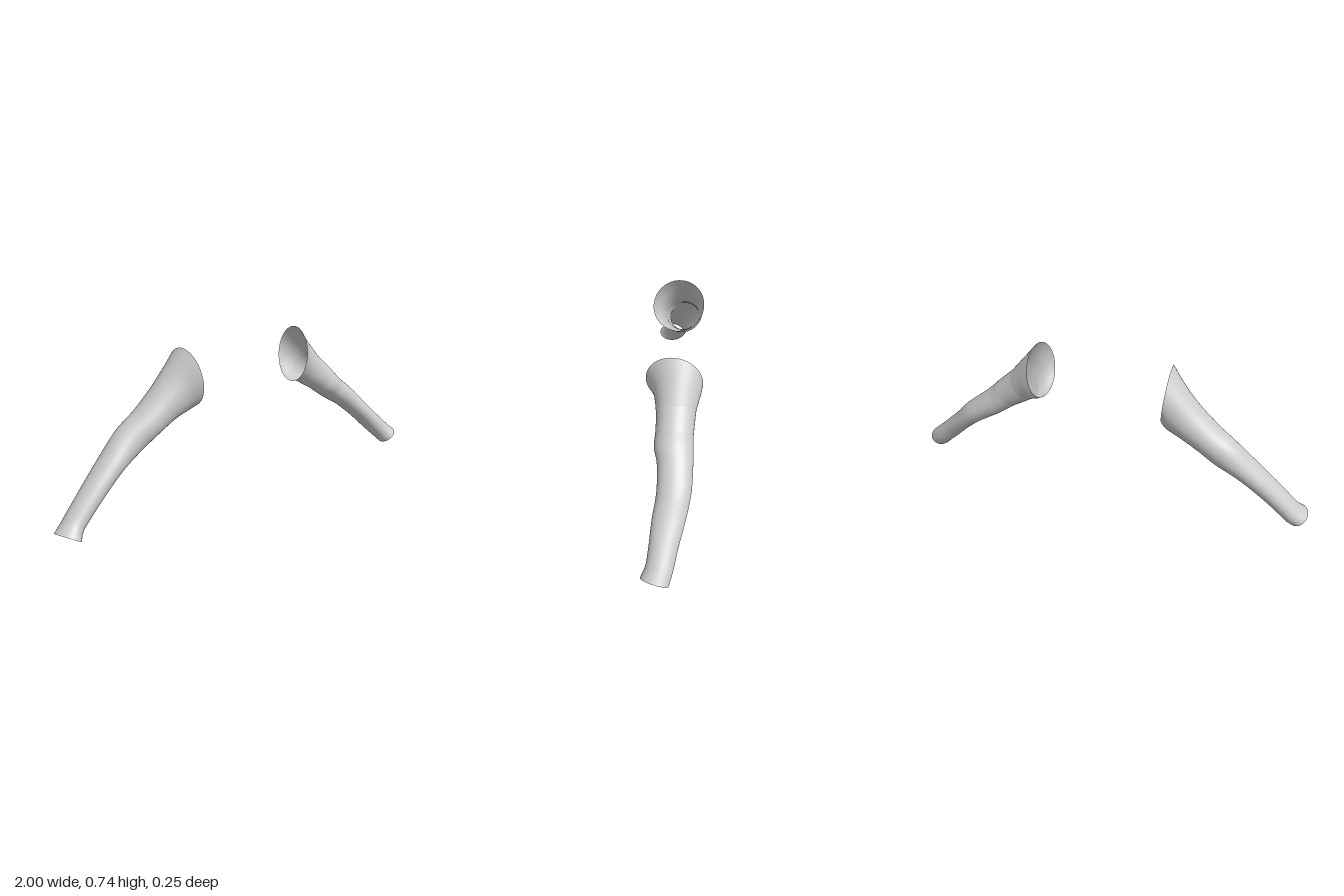
import * as THREE from 'three';

const fabric = new THREE.MeshStandardMaterial({ color: 0xcccccc, side: THREE.DoubleSide });
fabric.name = 'light grey fabric';

const SIDES = 40;

// Open tube through tilted oval sections.
// Section: [top x, top y, bottom x, bottom y, back z, front z, front shift x, front shift y]
function sleeve(name, sections, steps) {
  const track = (f) => new THREE.CatmullRomCurve3(sections.map(f), false, 'catmullrom', 0.5);
  const tops = track((s) => new THREE.Vector3(s[0], s[1], 0));
  const bottoms = track((s) => new THREE.Vector3(s[2], s[3], 0));
  const depths = track((s) => new THREE.Vector3(s[4], s[5], 0));
  const shifts = track((s) => new THREE.Vector3(s[6] || 0, s[7] || 0, 0));
  const positions = [];
  const index = [];
  for (let i = 0; i <= steps; i++) {
    const t = i / steps;
    const a = tops.getPoint(t), b = bottoms.getPoint(t);
    const d = depths.getPoint(t), sh = shifts.getPoint(t);
    for (let j = 0; j < SIDES; j++) {
      const angle = (j / SIDES) * Math.PI * 2;
      const c = Math.cos(angle), s = Math.sin(angle);
      positions.push(
        (a.x + b.x) / 2 + ((a.x - b.x) / 2) * c + sh.x * s,
        (a.y + b.y) / 2 + ((a.y - b.y) / 2) * c + sh.y * s,
        (d.x + d.y) / 2 + ((d.y - d.x) / 2) * s
      );
      if (i < steps) {
        const k = (j + 1) % SIDES, p = i * SIDES, q = p + SIDES;
        // keep the outside as the front on both arms
        if (a.x > 0) index.push(p + j, p + k, q + j, p + k, q + k, q + j);
        else index.push(p + j, q + j, p + k, p + k, q + j, q + k);
      }
    }
  }
  const geometry = new THREE.BufferGeometry();
  geometry.setAttribute('position', new THREE.Float32BufferAttribute(positions, 3));
  geometry.setIndex(index);
  geometry.computeVertexNormals();
  const mesh = new THREE.Mesh(geometry, fabric);
  mesh.name = name;
  return mesh;
}

export function createModel() {
  const model = new THREE.Group();
  model.name = 'sleeves';

  // Right arm: one continuous sleeve, shoulder to cuff
  model.add(sleeve('rightSleeve', [
    [-0.316, 0.746, -0.286, 0.473, -0.127, 0.122, 0.012],
    [-0.39, 0.655, -0.31, 0.45, -0.12, 0.084, 0.006],
    [-0.46, 0.575, -0.375, 0.42, -0.114, 0.067],
    [-0.55, 0.49, -0.46, 0.37, -0.107, 0.06],
    [-0.642, 0.42, -0.555, 0.305, -0.1, 0.05],
    [-0.738, 0.323, -0.664, 0.238, -0.08, 0.064],
    [-0.845, 0.215, -0.778, 0.14, -0.05, 0.08],
    [-0.925, 0.13, -0.862, 0.058, -0.03, 0.092],
    [-0.96, 0.092, -0.89, 0.027, -0.022, 0.105, 0.006, 0.006],
    [-0.998, 0.06, -0.909, 0.004, -0.008, 0.127, 0.014, 0.01],
  ], 72));

  // Left arm: flared shoulder cap, upper arm band and long lower sleeve, flush at the seams
  const capSeam = [0.47, 0.588, 0.366, 0.458, -0.1, 0.074];
  const bandSeam = [0.547, 0.516, 0.456, 0.403, -0.091, 0.073];
  const left = new THREE.Group();
  left.name = 'leftSleeve';
  left.add(sleeve('leftShoulderCap', [
    [0.342, 0.746, 0.302, 0.478, -0.127, 0.122, -0.015],
    [0.39, 0.687, 0.327, 0.471, -0.119, 0.09, -0.006],
    [0.438, 0.628, 0.348, 0.467, -0.108, 0.078],
    capSeam,
  ], 24));
  left.add(sleeve('leftUpperArmBand', [
    capSeam,
    [0.51, 0.55, 0.41, 0.43, -0.095, 0.072],
    bandSeam,
  ], 14));
  left.add(sleeve('leftLowerSleeve', [
    bandSeam,
    [0.585, 0.475, 0.5, 0.37, -0.091, 0.077],
    [0.64, 0.427, 0.56, 0.33, -0.092, 0.062],
    [0.732, 0.35, 0.658, 0.268, -0.087, 0.06],
    [0.81, 0.265, 0.743, 0.196, -0.066, 0.076],
    [0.893, 0.183, 0.828, 0.112, -0.037, 0.087],
    [0.95, 0.128, 0.882, 0.06, -0.02, 0.097, -0.006, 0.005],
    [0.998, 0.082, 0.918, 0.022, -0.001, 0.118, -0.013, 0.01],
  ], 60));
  model.add(left);
  return model;
}
